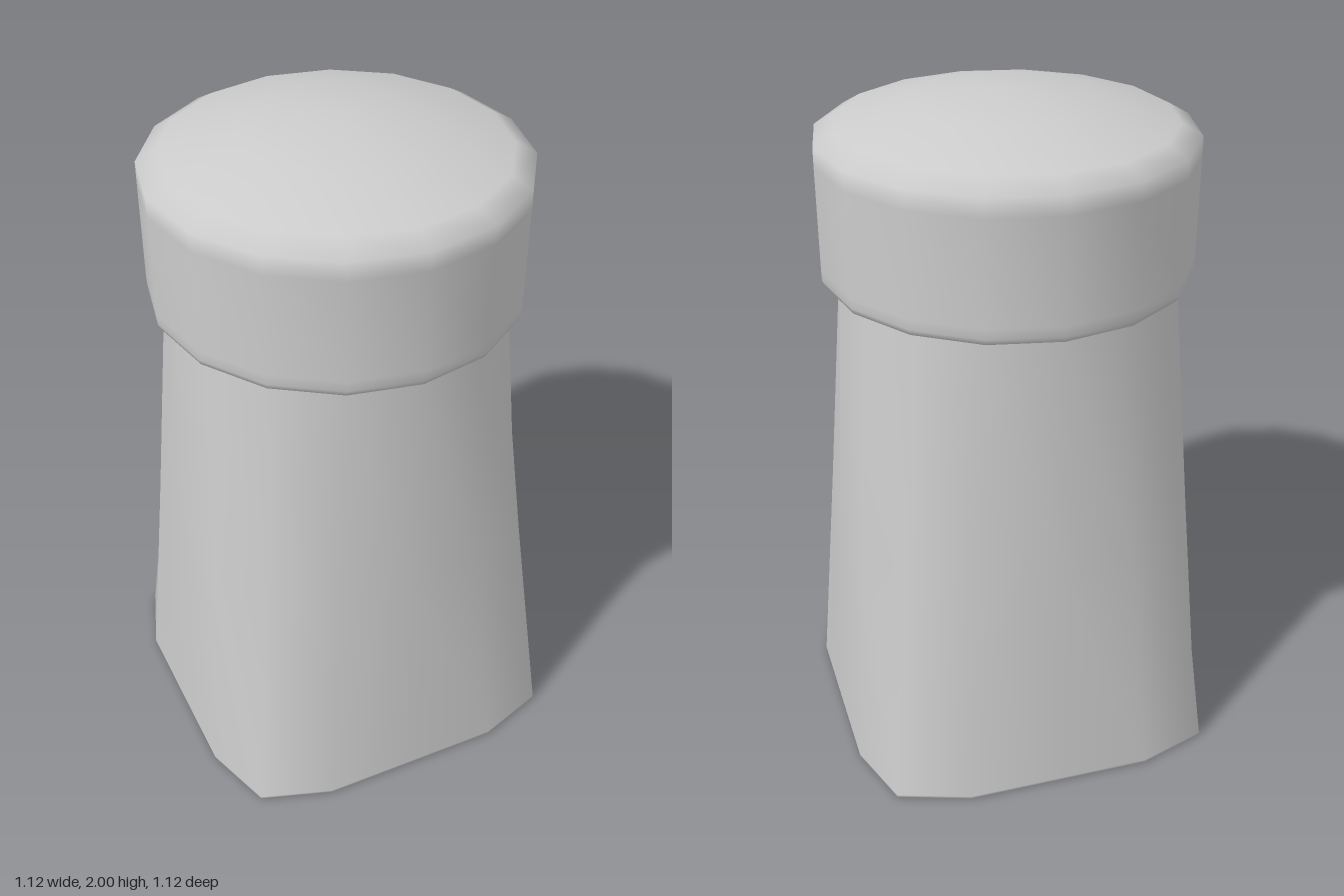
import * as THREE from 'three';
import { mergeVertices } from 'three/addons/utils/BufferGeometryUtils.js';

const SIDES = 16;
const material = new THREE.MeshStandardMaterial({ color: 0xcccccc });

// Turned profile of [radius, height] pairs, optionally reshaped, with seamless smooth normals
function turned(name, profile, reshape) {
  const lathe = new THREE.LatheGeometry(profile.map(([r, y]) => new THREE.Vector2(r, y)), SIDES);
  lathe.deleteAttribute('uv');
  lathe.deleteAttribute('normal');
  if (reshape) reshape(lathe.attributes.position);
  const geometry = mergeVertices(lathe);
  geometry.computeVertexNormals();
  const mesh = new THREE.Mesh(geometry, material);
  mesh.name = name;
  return mesh;
}

// Blend each ring from a rounded square at the base to a circle at the neck
const squareSteps = [0, 0.5, 0.875, 1, 1];
function squareBase(pos) {
  const squared = (v) => Math.sign(v) * squareSteps[Math.round(Math.asin(Math.min(1, Math.abs(v))) / (Math.PI / 8))];
  for (let i = 0; i < pos.count; i++) {
    const x = pos.getX(i), y = pos.getY(i), z = pos.getZ(i);
    const r = Math.hypot(x, z);
    if (r < 1e-6) continue;
    const t = Math.min(1, y / 1.47);
    pos.setX(i, r * THREE.MathUtils.lerp(squared(x / r), x / r, t));
    pos.setZ(i, r * THREE.MathUtils.lerp(squared(z / r), z / r, t));
  }
}

export function createModel() {
  const group = new THREE.Group();
  group.name = 'shaker';

  // Tapered body with a thin bevel around the foot
  group.add(turned('body', [
    [0, 0], [0.552, 0], [0.558, 0.003], [0.56, 0.012], [0.525, 0.74], [0.49, 1.47], [0.488, 1.5], [0, 1.5],
  ], squareBase));

  // Overhanging cap with a beveled lower lip and a shallow dome
  group.add(turned('cap', [
    [0, 1.468], [0.515, 1.468], [0.53, 1.473], [0.537, 1.49], [0.538, 1.52],
    [0.54, 1.82], [0.54, 1.875], [0.48, 1.91], [0.27, 1.967], [0, 2],
  ]));

  return group;
}
